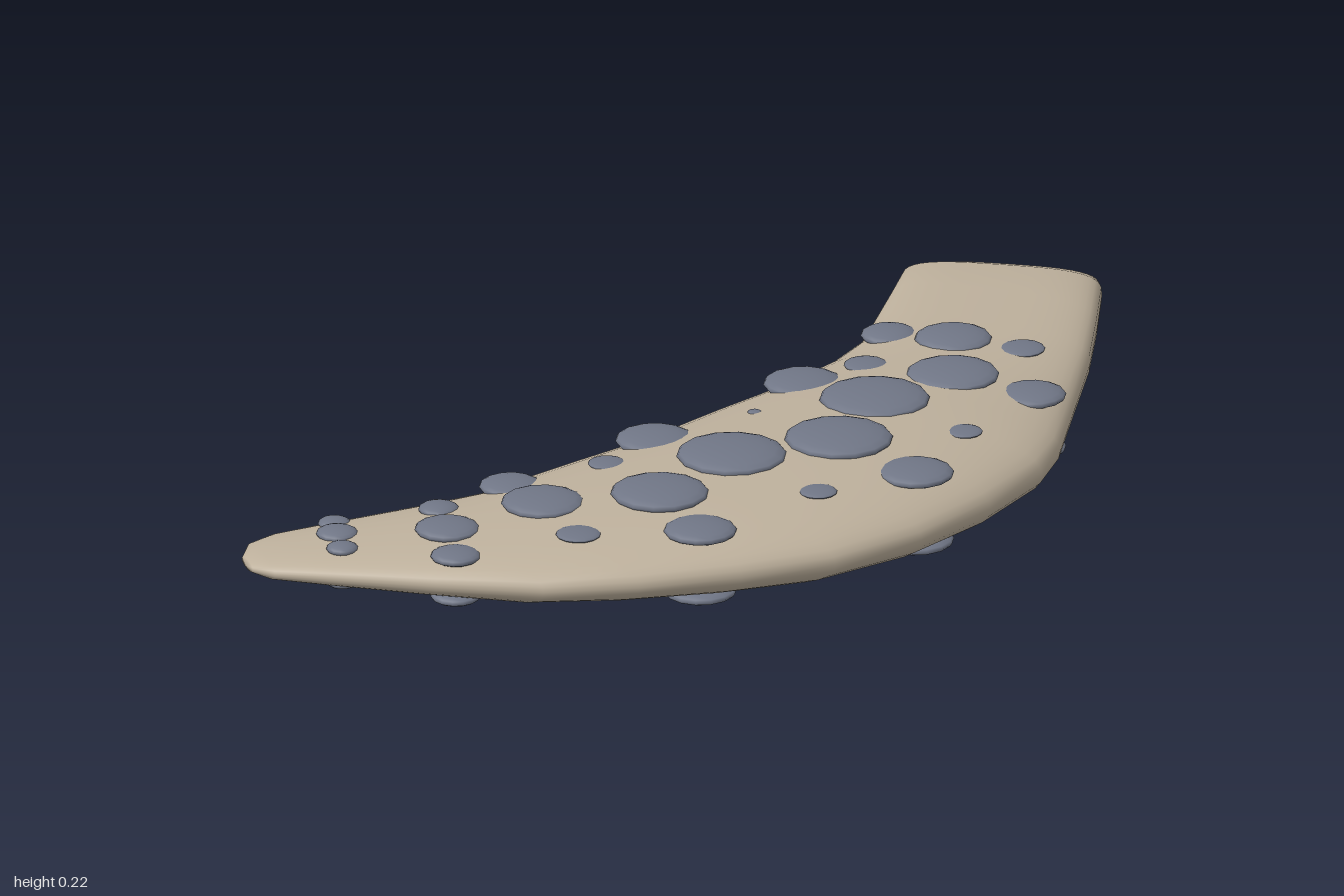
import * as THREE from 'three';

const MID = 0.108; // height of the blade's central plane

// inner edge x, z, outer edge x, z, half thickness, roundness (1 = ellipse, lower = boxier)
const SECTIONS = [
  [0.10, -0.940, 0.40, -1.000, 0.014, 0.70],
  [0.07, -0.922, 0.43, -0.988, 0.036, 0.65],
  [0.053, -0.88, 0.45, -0.95, 0.050, 0.60],
  [0.07, -0.77, 0.50, -0.79, 0.054, 0.60],
  [0.09, -0.62, 0.555, -0.60, 0.057, 0.65],
  [0.105, -0.50, 0.59, -0.45, 0.061, 0.75],
  [0.085, -0.37, 0.625, -0.30, 0.070, 0.85],
  [0.02, -0.18, 0.66, -0.15, 0.081, 0.9],
  [-0.05, -0.02, 0.67, -0.02, 0.088, 0.9],
  [-0.13, 0.17, 0.635, 0.18, 0.090, 0.9],
  [-0.22, 0.32, 0.565, 0.38, 0.087, 0.9],
  [-0.31, 0.475, 0.45, 0.56, 0.080, 0.9],
  [-0.335, 0.525, 0.30, 0.69, 0.073, 0.9],
  [-0.41, 0.60, 0.13, 0.81, 0.064, 0.9],
  [-0.50, 0.685, -0.04, 0.90, 0.054, 0.9],
  [-0.58, 0.76, -0.25, 0.945, 0.042, 0.9],
  [-0.645, 0.825, -0.45, 0.98, 0.031, 0.9],
  [-0.672, 0.88, -0.57, 1.00, 0.022, 0.9],
  [-0.662, 0.94, -0.62, 0.99, 0.010, 0.9],
];

// x, z, radius of the full studs
const STUDS = [
  [0.17, -0.495, 0.057], [0.305, -0.495, 0.077], [0.38, -0.29, 0.093],
  [0.55, -0.285, 0.068], [0.11, -0.17, 0.080], [0.29, -0.09, 0.110],
  [0.30, 0.14, 0.108], [0.49, 0.215, 0.077], [-0.06, 0.215, 0.079],
  [0.13, 0.29, 0.110], [0.06, 0.51, 0.098], [-0.255, 0.51, 0.063],
  [-0.15, 0.61, 0.083], [0.19, 0.63, 0.073], [-0.345, 0.675, 0.041],
  [-0.29, 0.775, 0.065], [-0.235, 0.875, 0.050], [-0.53, 0.77, 0.033],
  [-0.50, 0.835, 0.042], [-0.465, 0.90, 0.032],
];

// x, z, radius of the small studs that barely break the surface
const SMALL = [
  [0.45, -0.50, 0.045], [0.195, -0.295, 0.044], [0.51, -0.01, 0.036],
  [0.085, 0.04, 0.014], [-0.10, 0.38, 0.038], [0.35, 0.39, 0.038], [-0.03, 0.73, 0.045],
];

// Lofts rounded cross-sections along the curve of the blade and closes both ends
function bladeGeometry() {
  const N = 40, pos = [], idx = [];
  const power = (v, e) => Math.sign(v) * Math.abs(v) ** e;
  for (const [lx, lz, rx, rz, h, e] of SECTIONS) {
    for (let j = 0; j < N; j++) {
      const a = (j / N) * Math.PI * 2;
      const t = (1 + power(Math.cos(a), e)) / 2;
      pos.push(lx + (rx - lx) * t, MID + h * power(Math.sin(a), e), lz + (rz - lz) * t);
    }
  }
  const last = SECTIONS.length - 1;
  for (let i = 0; i < last; i++) {
    for (let j = 0; j < N; j++) {
      const k = (j + 1) % N;
      const a = i * N + j, b = i * N + k, c = a + N, d = b + N;
      idx.push(a, b, c, b, d, c);
    }
  }
  for (const i of [0, last]) {
    const [lx, lz, rx, rz] = SECTIONS[i];
    const centre = pos.length / 3;
    pos.push((lx + rx) / 2, MID, (lz + rz) / 2 + (i ? 0.006 : -0.008));
    for (let j = 0; j < N; j++) {
      const a = i * N + j, b = i * N + ((j + 1) % N);
      if (i) idx.push(centre, a, b);
      else idx.push(centre, b, a);
    }
  }
  const g = new THREE.BufferGeometry();
  g.setAttribute('position', new THREE.Float32BufferAttribute(pos, 3));
  g.setIndex(idx);
  g.computeVertexNormals();
  return g;
}

export function createModel() {
  const group = new THREE.Group();
  group.name = 'studdedThrowingBlade';
  const wood = new THREE.MeshStandardMaterial({ name: 'pale wood', color: 0xbdb09c });
  const stone = new THREE.MeshStandardMaterial({ name: 'slate stone', color: 0x707686 });

  const blade = new THREE.Mesh(bladeGeometry(), wood);
  blade.name = 'curvedBlade';
  group.add(blade);

  // Flattened studs resting on the surface, mirrored on the underside
  const studGeometry = new THREE.SphereGeometry(1, 14, 10);
  const ray = new THREE.Raycaster();
  const down = new THREE.Vector3(0, -1, 0);
  const addStuds = (list, name, halfHeight) => {
    const studs = new THREE.Group();
    studs.name = name;
    for (const [x, z, r] of list) {
      ray.set(new THREE.Vector3(x, 1, z), down);
      const hit = ray.intersectObject(blade)[0];
      const rise = hit ? hit.point.y - MID : 0.02;
      for (const side of [1, -1]) {
        const stud = new THREE.Mesh(studGeometry, stone);
        stud.name = side > 0 ? 'upperStud' : 'lowerStud';
        stud.position.set(x, MID + side * rise, z);
        stud.scale.set(r, halfHeight(r), r);
        studs.add(stud);
      }
    }
    group.add(studs);
  };
  addStuds(STUDS, 'studs', (r) => 0.009 + 0.1 * r);
  addStuds(SMALL, 'smallStuds', (r) => 0.12 * r + 0.002);
  return group;
}
